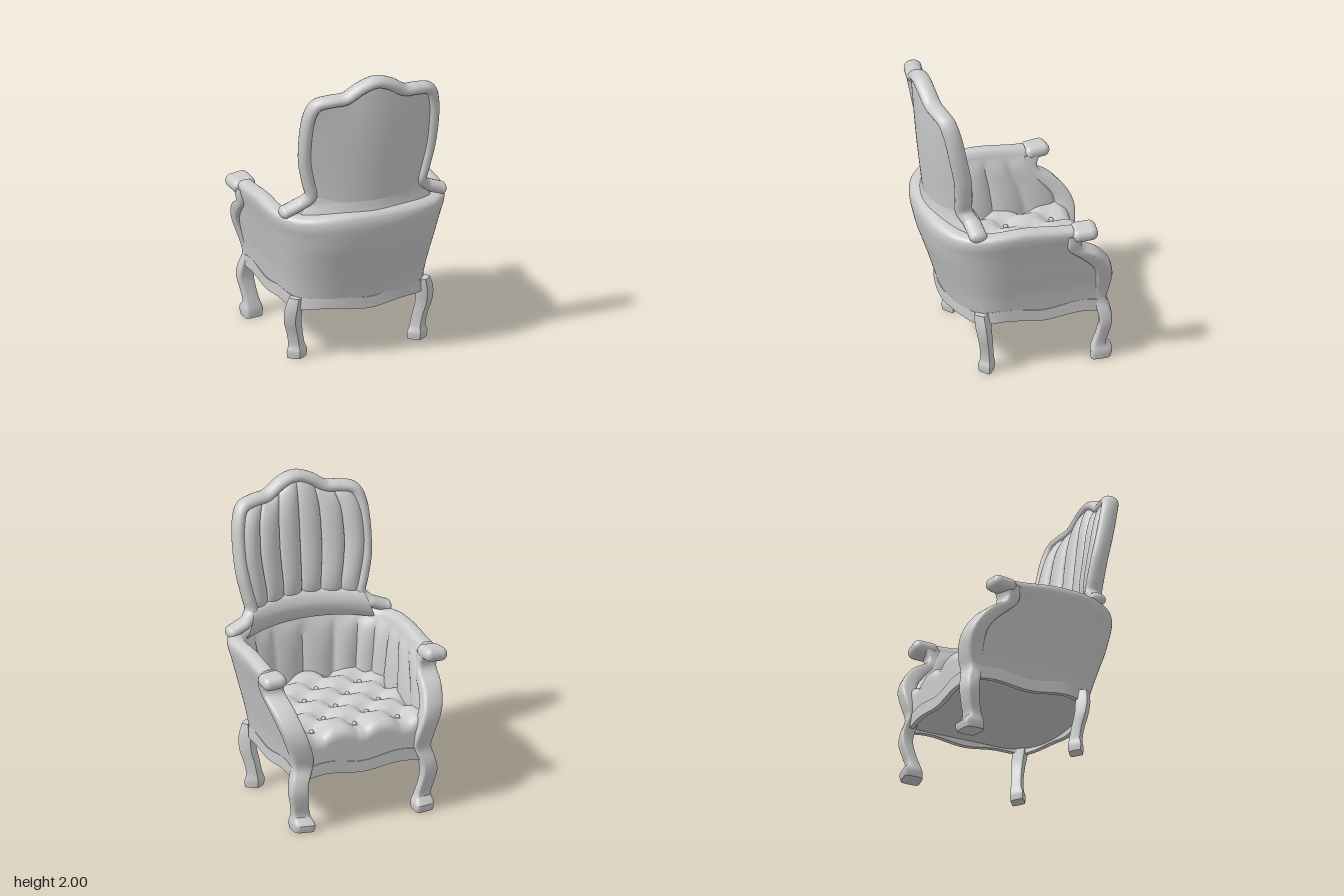
import * as THREE from 'three';
import { toCreasedNormals } from 'three/addons/utils/BufferGeometryUtils.js';
import { RoundedBoxGeometry } from 'three/addons/geometries/RoundedBoxGeometry.js';

const material = new THREE.MeshStandardMaterial({ color: 0xcccccc, side: THREE.DoubleSide });
const { PI, sin, cos, abs, pow, min, max, sign, sqrt } = Math;

// Surface from a rule f(u, v) -> [x, y, z], u and v in 0..1
function surface(nu, nv, f, crease = 0.9) {
  const pos = [], idx = [];
  for (let j = 0; j <= nv; j++) for (let i = 0; i <= nu; i++) pos.push(...f(i / nu, j / nv));
  for (let j = 0; j < nv; j++) for (let i = 0; i < nu; i++) {
    const a = j * (nu + 1) + i, b = a + 1, c = a + nu + 1, d = c + 1;
    idx.push(a, b, d, a, d, c);
  }
  const g = new THREE.BufferGeometry();
  g.setAttribute('position', new THREE.Float32BufferAttribute(pos, 3));
  g.setIndex(idx);
  return toCreasedNormals(g, crease);
}

// Smooth interpolation through the rows of a small table
function sample(rows, t) {
  const n = rows.length - 1, i = min(n - 1, Math.floor(t * n)), f = t * n - i;
  const at = k => rows[max(0, min(n, k))];
  return rows[i].map((b, k) => {
    const a = at(i - 1)[k], c = at(i + 1)[k], d = at(i + 2)[k];
    return b + 0.5 * f * (c - a + f * (2 * a - 5 * b + 4 * c - d + f * (3 * (b - c) + d - a)));
  });
}

// U-shaped plan, u in -1..1, open towards -z: straight sides and a rounded back
function plan(u, a, zf, zb) {
  const s = 1 - abs(u), z0 = 0.1;
  if (s < 0.4) return [sign(u) * a, zf + (z0 - zf) * s / 0.4];
  const t = (s - 0.4) / 0.6 * PI / 2;
  return [sign(u) * a * pow(max(0, cos(t)), 0.8), z0 + (zb - z0) * pow(sin(t), 0.8)];
}

// Leg lofted from rows [y, x, z, half width, half depth]; power near 2 = diamond, small = box
function leg(rows, side, power, turn = 0) {
  const nv = 44;
  return surface(24, nv + 2, (u, v) => {
    const k = v * (nv + 2) - 1, [y, x, z, w, d] = sample(rows, max(0, min(1, k / nv)));
    const open = k < -0.5 || k > nv + 0.5 ? 0 : 1, t = u * 2 * PI;
    const c = sign(cos(t)) * pow(abs(cos(t)), power), s = sign(sin(t)) * pow(abs(sin(t)), power);
    return [side * (x + open * c * w), y, z + open * (s * d + turn * c * w)];
  }, 0.6);
}

export function createModel() {
  const model = new THREE.Group();
  const add = (name, geometry, x = 0, y = 0, z = 0) => {
    const m = new THREE.Mesh(geometry, material);
    m.name = name;
    m.position.set(x, y, z);
    model.add(m);
    return m;
  };

  // Upholstered tub: rows [y, half width, front z, back z, fluting], up the outside and down the inside
  const tub = [
    [0.40, 0.472, -0.5, 0.405, 0], [0.55, 0.497, -0.5, 0.45, 0], [0.7, 0.532, -0.49, 0.5, 0],
    [0.8, 0.555, -0.43, 0.535, 0], [0.9, 0.58, -0.35, 0.56, 0], [0.97, 0.6, -0.32, 0.572, 0],
    [1.02, 0.605, -0.3, 0.565, 0], [1.045, 0.588, -0.3, 0.54, 0], [1.055, 0.55, -0.3, 0.5, 0],
    [1.045, 0.515, -0.3, 0.46, 0], [1.0, 0.493, -0.31, 0.43, 0], [0.92, 0.485, -0.34, 0.42, 0.7],
    [0.8, 0.475, -0.42, 0.41, 1], [0.65, 0.46, -0.48, 0.4, 1], [0.5, 0.455, -0.5, 0.39, 1]];
  add('tubUpholstery', surface(160, 70, (u, v) => {
    const [y, a, zf, zb, flute] = sample(tub, v), s = u * 2 - 1;
    const puff = 0.036 * max(0, flute) * sqrt(abs(sin(s * PI * 7)));
    const [x, z] = plan(s, a - puff, zf, zb - puff);
    return [x, y - 0.012 * max(0, (y - 0.9) / 0.15) * cos(2 * PI * (1 - abs(s)) / 0.65), z];
  }));

  // Button-tufted seat: rounded scalloped front edge, narrowing into the back of the tub
  const seatY = (x, z) => {
    const a = x / 0.3, b = (z + 0.41) / 0.302, p = PI * (a + b), q = PI * (a - b);
    return 0.632 - 0.036 * pow(cos(p) * cos(q), 2) + 0.018 * pow(abs(sin(p) * sin(q)), 0.8) + 0.012 * (1 - pow(x / 0.46, 2));
  };
  add('seatCushion', surface(96, 110, (u, v) => {
    const x = (u - 0.5) * 0.92, r = 0.07, edge = seatY(x, -0.44);
    if (v < 0.1) return [x, 0.4 + (edge - r - 0.4) * v / 0.1, -0.55];
    if (v < 0.2) {
      const t = (v - 0.1) / 0.1 * PI / 2;
      return [x, edge - r + r * sin(t), -0.48 - r * cos(t)];
    }
    const z = -0.48 + (v - 0.2) / 0.8 * 0.87;
    const narrow = z > 0.1 ? pow(max(0, 1 - pow((z - 0.1) / 0.31, 2.5)), 0.4) : 1;
    return [x * narrow, seatY(x * narrow, max(z, -0.44)), z];
  }, 1.2));
  for (let row = 0; row < 5; row++) {
    const z = -0.41 + row * 0.151;
    for (const x of row % 2 ? [-0.15, 0.15] : [-0.3, 0, 0.3])
      add('seatButton', new THREE.SphereGeometry(0.016, 14, 10), x, seatY(x, z) + 0.006, z);
  }

  // Underside board
  const board = new THREE.Shape();
  for (let i = 0; i <= 60; i++) {
    const [x, z] = plan(i / 30 - 1, 0.455, -0.53, 0.39);
    i ? board.lineTo(x, z) : board.moveTo(x, z);
  }
  add('undersideBoard', new THREE.ExtrudeGeometry(board, { depth: 0.03, bevelEnabled: false }).rotateX(PI / 2), 0, 0.41, 0);

  // Wavy aprons: a thin closed strip along the sides and back, and one across the front
  const apronRow = (v, t) => {
    const wave = cos(2 * PI * t / 0.5), k = Math.round(v * 4) % 4;
    return [k < 2 ? 0.353 - 0.013 * wave : 0.433 - 0.016 * wave, k === 1 || k === 2 ? 0.006 : -0.025];
  };
  add('sideAndBackApron', surface(140, 4, (u, v) => {
    const s = u * 2 - 1, [px, pz] = plan(s, 0.475, -0.5, 0.408);
    const [y, out] = apronRow(v, abs(px) > 0.43 ? pz + 0.13 : px);
    const [x, z] = plan(s, 0.475 + out, -0.5, 0.408 + out);
    return [x, y, z];
  }, 0.6));
  add('frontApron', surface(60, 4, (u, v) => {
    const x = (u - 0.5) * 0.84, [y, out] = apronRow(v, x);
    return [x, y, -0.55 - out];
  }, 0.6));

  // Legs, scrolled arm posts and hand rests
  const backLeg = [
    [0.0, 0.415, 0.23, 0.066, 0.05], [0.045, 0.415, 0.23, 0.07, 0.056], [0.09, 0.418, 0.228, 0.056, 0.047],
    [0.17, 0.432, 0.235, 0.055, 0.045], [0.26, 0.452, 0.25, 0.06, 0.048], [0.35, 0.45, 0.262, 0.062, 0.053],
    [0.43, 0.437, 0.268, 0.05, 0.05]];
  const post = [
    [0.0, 0.42, -0.525, 0.064, 0.066], [0.05, 0.42, -0.53, 0.068, 0.07], [0.1, 0.425, -0.515, 0.054, 0.042],
    [0.18, 0.44, -0.535, 0.052, 0.04], [0.27, 0.455, -0.55, 0.056, 0.042], [0.35, 0.445, -0.54, 0.056, 0.045],
    [0.43, 0.418, -0.52, 0.062, 0.042], [0.52, 0.428, -0.53, 0.068, 0.052], [0.62, 0.46, -0.535, 0.071, 0.056],
    [0.7, 0.487, -0.515, 0.072, 0.056], [0.77, 0.506, -0.465, 0.072, 0.062], [0.83, 0.52, -0.4, 0.072, 0.066],
    [0.88, 0.53, -0.33, 0.07, 0.05], [0.93, 0.542, -0.315, 0.07, 0.046], [0.99, 0.55, -0.33, 0.068, 0.06]];
  for (const side of [1, -1]) {
    const label = side > 0 ? 'left' : 'right';
    add(label + 'BackLeg', leg(backLeg, side, 1.7));
    add(label + 'ArmPostAndLeg', leg(post, side, 0.4, 0.2));
    const rest = add(label + 'HandRest', new RoundedBoxGeometry(0.16, 0.09, 0.17, 5, 0.044), side * 0.558, 0.998, -0.375);
    rest.rotation.set(0.08, side * -0.08, side * -0.1);
  }

  // Backrest: leaning plane, curved more at the bottom; shared by frame, cushion and rear panel
  const backZ = (x, y) => 0.34 + 0.2 * (y - 1.15) + (0.125 - 0.095 * (y - 1.1)) * max(0, 1 - pow(x / 0.43, 2));
  const half = [[0.54, 1.055], [0.49, 1.075], [0.42, 1.11], [0.378, 1.17], [0.4, 1.27], [0.43, 1.42], [0.438, 1.6],
    [0.425, 1.75], [0.385, 1.835], [0.29, 1.858], [0.2, 1.868], [0.1, 1.93]];
  const outline = [...half, [0, 1.96], ...half.map(([x, y]) => [-x, y]).reverse()];
  const path = t => {
    const [x, y] = sample(outline, t);
    return [x, y, backZ(x, y)];
  };
  add('backrestFrame', surface(200, 18, (u, v) => {
    const p = path(u), a = path(max(0, u - 0.004)), b = path(min(1, u + 0.004));
    const dx = b[0] - a[0], dy = b[1] - a[1], l = Math.hypot(dx, dy), t = v * 2 * PI;
    return [p[0] - dy / l * 0.04 * cos(t), p[1] + dx / l * 0.04 * cos(t), p[2] + 0.058 * sin(t)];
  }));
  for (const side of [1, -1]) {
    const end = add('frameEnd', new THREE.SphereGeometry(1, 20, 14), side * 0.537, 1.056, backZ(0.54, 1.055));
    end.scale.set(0.036, 0.041, 0.06);
  }

  // Fluted front cushion and smooth rear panel inside the frame
  const widths = [[0.385], [0.39], [0.415], [0.435], [0.435], [0.42], [0.37]];
  const panelPoint = (s, t) => {
    const x = s * sample(widths, t)[0];
    const top = 1.86 + 0.095 * (0.5 + 0.5 * cos(PI * min(1, abs(x) / 0.22)));
    return [x, 1.13 + t * (top - 1.13)];
  };
  add('flutedBackCushion', surface(120, 40, (u, v) => {
    const s = u * 2 - 1, [x, y] = panelPoint(s, v);
    const dome = sqrt(max(0, (1 - pow(s, 8)) * (1 - pow(abs(2 * v - 1), 4))));
    return [x, y, backZ(x, y) - 0.005 - dome * (0.05 + 0.038 * sqrt(abs(sin(3 * PI * s))))];
  }));
  add('backrestRearPanel', surface(50, 40, (u, v) => {
    const s = u * 2 - 1, [x, y] = panelPoint(s, v);
    return [x, y, backZ(x, y) + 0.02 + 0.04 * (1 - s * s) * (1 - pow(v, 3))];
  }));

  // Flared base joining the backrest to the tub, a padded roll in front: rows [y, half width, middle z, end z]
  const flare = [[1.03, 0.475, 0.535, 0.37], [1.08, 0.445, 0.522, 0.37], [1.13, 0.41, 0.515, 0.375], [1.19, 0.385, 0.505, 0.385],
    [1.215, 0.38, 0.45, 0.36], [1.2, 0.385, 0.395, 0.31], [1.14, 0.41, 0.362, 0.275], [1.08, 0.43, 0.365, 0.275],
    [1.03, 0.45, 0.39, 0.29]];
  add('backrestBase', surface(60, 48, (u, v) => {
    const s = u * 2 - 1, [y, w, zm, ze] = sample(flare, v);
    return [s * w, y - 0.03 * s * s, zm + (ze - zm) * s * s];
  }));

  return model;
}
